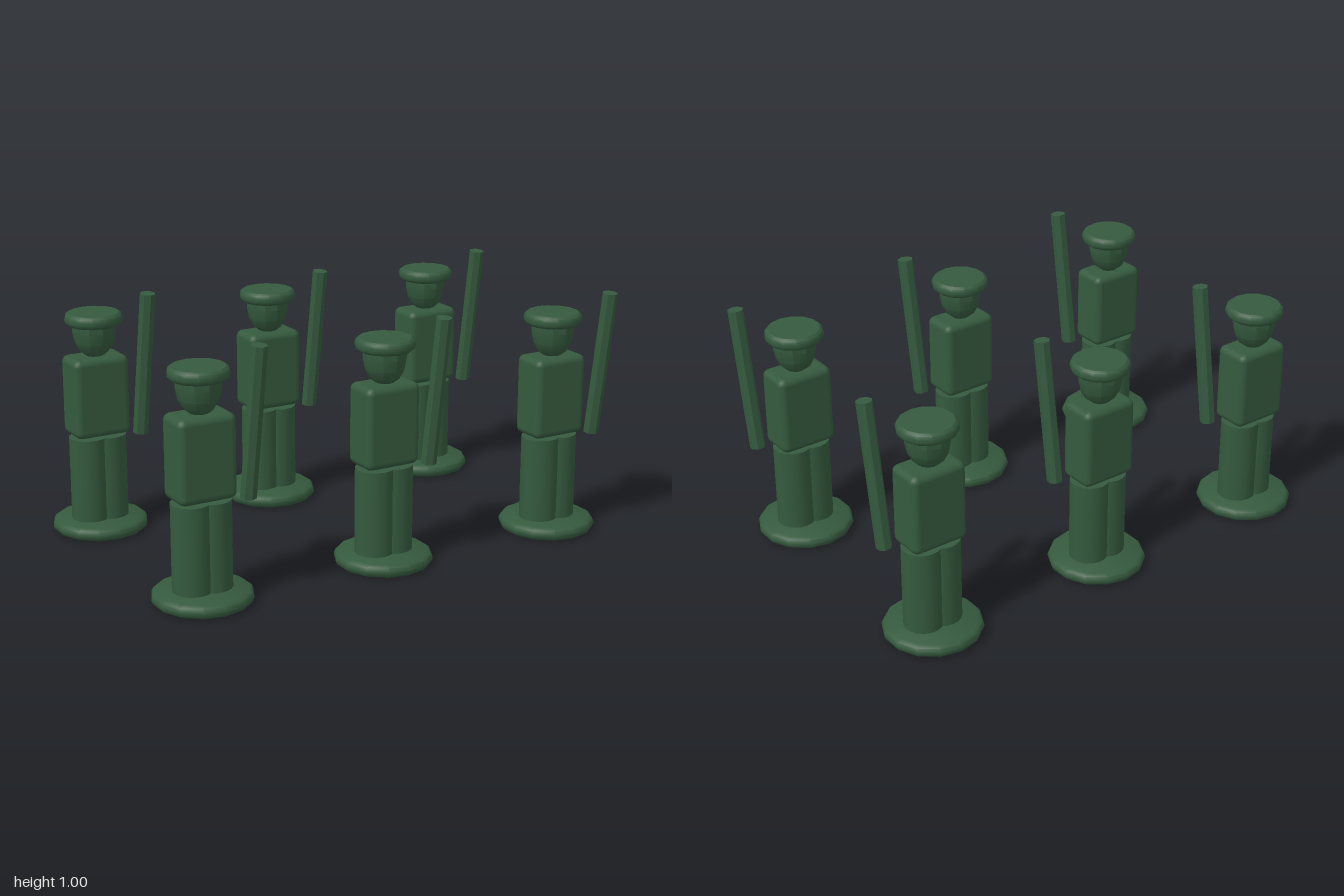
import * as THREE from 'three';
import { toCreasedNormals } from 'three/addons/utils/BufferGeometryUtils.js';
import { RoundedBoxGeometry } from 'three/addons/geometries/RoundedBoxGeometry.js';

const green = new THREE.MeshStandardMaterial({ color: 0x355a3e });
green.name = 'army green';

function lathe(points, sides) {
  const profile = points.map(([r, y]) => new THREE.Vector2(r, y));
  return toCreasedNormals(new THREE.LatheGeometry(profile, sides), 0.62);
}

// Disc with a rounded rim, standing on y = 0
function roundedDisc(radius, height, bevel) {
  const points = [
    [0, 0], [radius - bevel, 0], [radius - bevel * 0.3, height * 0.17], [radius, height * 0.42],
    [radius, height * 0.58], [radius - bevel * 0.3, height * 0.83], [radius - bevel, height], [0, height],
  ];
  return lathe(points, 14);
}

const baseGeometry = roundedDisc(0.196, 0.053, 0.02);
const hatGeometry = roundedDisc(0.118, 0.05, 0.015);
const legGeometry = new THREE.CylinderGeometry(0.078, 0.078, 0.38, 20);
const torsoGeometry = new RoundedBoxGeometry(0.238, 0.33, 0.157, 2, 0.028);
const headGeometry = lathe([
  [0, 0.735], [0.035, 0.737], [0.06, 0.757], [0.079, 0.793], [0.088, 0.838], [0.088, 0.88], [0, 0.885],
], 10);

// Rifle leaning slightly forward and outward
const rifleBottom = new THREE.Vector3(0.162, 0.403, 0.067);
const rifleTop = new THREE.Vector3(0.181, 0.997, 0.131);
const rifleAxis = rifleTop.clone().sub(rifleBottom);
const rifleGeometry = toCreasedNormals(
  new THREE.CylinderGeometry(0.032, 0.032, rifleAxis.length(), 7), 0.62);

function part(parent, name, geometry, x = 0, y = 0, z = 0) {
  const mesh = new THREE.Mesh(geometry, green);
  mesh.name = name;
  mesh.position.set(x, y, z);
  parent.add(mesh);
  return mesh;
}

function createSoldier() {
  const soldier = new THREE.Group();
  soldier.name = 'soldier';
  part(soldier, 'base', baseGeometry);
  part(soldier, 'leftLeg', legGeometry, 0.042, 0.21, 0);
  part(soldier, 'rightLeg', legGeometry, -0.042, 0.21, 0);
  part(soldier, 'torso', torsoGeometry, 0, 0.574, 0);
  part(soldier, 'head', headGeometry);
  part(soldier, 'hat', hatGeometry, 0, 0.866, 0);
  const rifle = part(soldier, 'rifle', rifleGeometry);
  rifle.position.addVectors(rifleBottom, rifleTop).multiplyScalar(0.5);
  rifle.quaternion.setFromUnitVectors(new THREE.Vector3(0, 1, 0), rifleAxis.clone().normalize());
  return soldier;
}

export function createModel() {
  const model = new THREE.Group();
  model.name = 'toySoldiers';
  // Two ranks of three
  for (const z of [-0.465, 0.465]) {
    for (const column of [-1, 0, 1]) {
      const soldier = createSoldier();
      soldier.position.set(column * 0.797 - 0.011, 0, z);
      model.add(soldier);
    }
  }
  return model;
}
